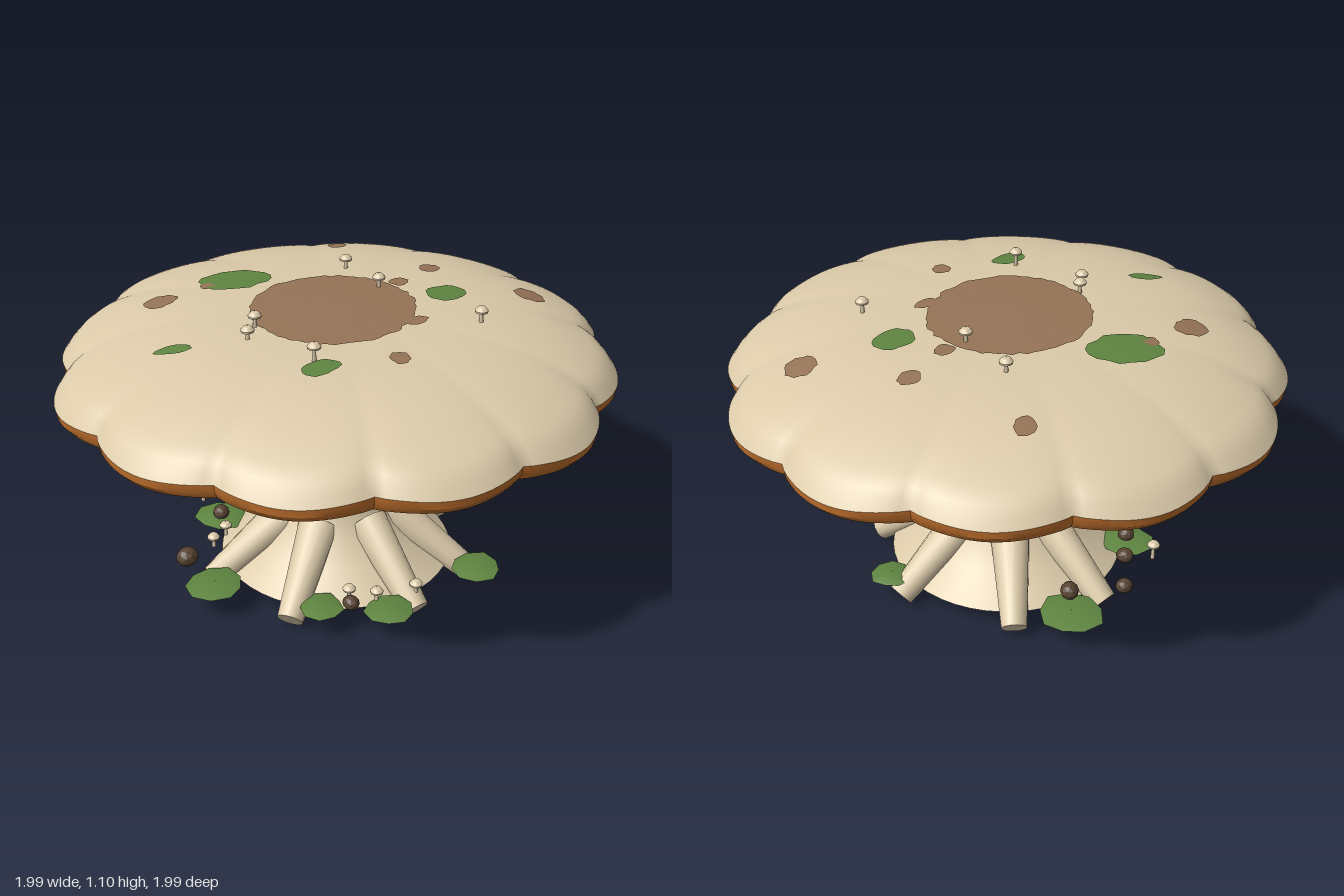
import * as THREE from 'three';
import { toCreasedNormals } from 'three/addons/utils/BufferGeometryUtils.js';

const material = (name, color) => Object.assign(new THREE.MeshStandardMaterial({ color }), { name });

// Small seeded random generator
function seeded(seed) {
  let s = seed * 7919 + 17;
  return () => (s = (s * 16807) % 2147483647) / 2147483647;
}

// Surface through closed rings; point(i, angle) gives [x, y, z]; angle 0 is +z
function loft(rings, sides, point, crease = 0.6) {
  const pos = [], index = [];
  for (let i = 0; i < rings; i++)
    for (let j = 0; j < sides; j++) pos.push(...point(i, (j / sides) * Math.PI * 2));
  for (let i = 0; i < rings - 1; i++)
    for (let j = 0; j < sides; j++) {
      const k = (j + 1) % sides;
      const a = i * sides + j, b = a + sides, c = (i + 1) * sides + k, d = i * sides + k;
      index.push(a, b, c, a, c, d);
    }
  const geo = new THREE.BufferGeometry();
  geo.setAttribute('position', new THREE.Float32BufferAttribute(pos, 3));
  geo.setIndex(index);
  return toCreasedNormals(geo, crease);
}

// Round part from [radius, y] pairs listed from the top outward and down
function turned(profile, sides, wave = () => 0) {
  return loft(profile.length, sides, (i, a) => {
    const [r, y] = profile[i];
    return [r * Math.sin(a), y + wave(i, a), r * Math.cos(a)];
  });
}

// Scalloped cap outline and gently domed top with a rounded shoulder
const lobe = (a) => Math.pow(Math.abs(Math.sin(6 * a)), 0.8);
const outline = (a) => 0.95 + 0.057 * lobe(a) + 0.01 * Math.cos(4 * a);
const capRadius = (t, a) => t * (1 + (outline(a) - 1) * t ** 3);
const capY = (t, a) => 1.04 - 0.16 * t ** 4 - 0.035 * Math.max(0, (t - 0.92) / 0.08) ** 2
  - 0.03 * (1 - lobe(a)) * t ** 3 * (1 - t);
const rimWave = (t, a) => (0.006 * Math.cos(12 * a) + 0.004 * Math.cos(5 * a + 1)) * t ** 6;

export function createModel() {
  const group = new THREE.Group();
  const cream = material('cream flesh', 0xdccbaa);
  cream.side = THREE.DoubleSide;
  const gill = material('orange gills', 0xc4722e);
  const brown = material('brown blotch', 0x967457);
  const moss = material('moss green', 0x5f8541);
  moss.side = THREE.DoubleSide;
  const stone = material('dark pebble', 0x564231);

  const add = (name, geo, mat, x = 0, y = 0, z = 0, parent = group) => {
    const mesh = new THREE.Mesh(geo, mat);
    mesh.name = name;
    mesh.position.set(x, y, z);
    parent.add(mesh);
    return mesh;
  };

  // Cap top
  const RINGS = 41;
  add('capTop', loft(RINGS, 192, (i, a) => {
    const t = Math.max(0.001, i / (RINGS - 1)), r = capRadius(t, a);
    return [r * Math.sin(a), capY(t, a) + rimWave(t, a), r * Math.cos(a)];
  }, 1), cream);

  // Cap rim and pleated gills
  const under = [[1, 0.845], [0.995, 0.815], [0.975, 0.79], [0.95, 0.79], [0.8, 0.81], [0.6, 0.84], [0.4, 0.87], [0.24, 0.895], [0.05, 0.9]];
  add('gills', loft(under.length, 192, (i, a) => {
    const [t, y] = under[i], r = capRadius(t, a);
    const pleat = i > 3 ? 0.008 * Math.sin(18 * a) + 0.005 * Math.sin(31 * a) : 0;
    return [r * Math.sin(a), y + pleat * Math.min(1, t * 2) + rimWave(t, a), r * Math.cos(a)];
  }, 0.5), gill);

  // Hollow stem with a collar at the top and a wide foot
  add('stem', turned([[0.265, 0.892], [0.228, 0.872], [0.22, 0.82], [0.21, 0.78], [0.19, 0.73], [0.177, 0.66], [0.177, 0.58], [0.182, 0.5],
    [0.192, 0.4], [0.21, 0.31], [0.25, 0.23], [0.32, 0.15], [0.44, 0.06]], 48), cream);

  // Skirt ring
  const skirtWave = (i, a) => (i === 1 || i === 2 ? 0.007 * Math.cos(7 * a) : 0);
  add('skirt', turned([[0.172, 0.7], [0.29, 0.635], [0.285, 0.612], [0.17, 0.628]], 40, skirtWave), cream);

  // Roots leaning out from the foot
  [-2, 37, 87, 141, 183, 258, 304].forEach((deg) => {
    const a = THREE.MathUtils.degToRad(deg);
    const at = (r, y) => new THREE.Vector3(r * Math.sin(a), y, r * Math.cos(a));
    const top = at(0.2, 0.255), tip = at(0.505, 0.04);
    const dir = top.clone().sub(tip);
    const geo = toCreasedNormals(new THREE.CylinderGeometry(0.075, 0.048, dir.length(), 12), 0.7);
    const mid = top.clone().add(tip).multiplyScalar(0.5);
    const root = add('root', geo, cream, mid.x, mid.y, mid.z);
    root.quaternion.setFromUnitVectors(new THREE.Vector3(0, 1, 0), dir.normalize());
  });

  // Ragged thin patches draped over the cap: x, z, half width, half depth, turn
  const patch = (name, mat, seed, [x, z, w, d, turn = 0]) => {
    const rand = seeded(seed), large = w > 0.2;
    const sides = large ? 72 : 18, rings = large ? 14 : 6, rough = large ? 0.05 : 0.18;
    const edge = Array.from({ length: sides }, () => 1 + (rand() - 0.5) * rough);
    add(name, loft(rings, sides, (i, a) => {
      const j = Math.round((a / (Math.PI * 2)) * sides) % sides;
      const s = Math.max(0.001, i / (rings - 1)) * (edge[j] + rough * 0.25 * Math.sin(3 * a + seed));
      const u = s * w * Math.sin(a), v = s * d * Math.cos(a);
      const px = x + u * Math.cos(turn) - v * Math.sin(turn);
      const pz = z + u * Math.sin(turn) + v * Math.cos(turn);
      return [px, capY(Math.hypot(px, pz), Math.atan2(px, pz)) + 0.006, pz];
    }), mat);
  };
  [[-0.01, -0.005, 0.297, 0.29], [-0.44, -0.47, 0.06, 0.055], [0.41, -0.54, 0.045, 0.038, -0.5], [0.515, -0.1, 0.045, 0.038, -0.4],
    [0.7, 0.25, 0.057, 0.06], [-0.065, 0.435, 0.034, 0.04, 0.6], [0.325, -0.05, 0.038, 0.034], [0.16, 0.25, 0.045, 0.03],
    [-0.245, -0.46, 0.026, 0.03]].forEach((p, i) => patch('brownPatch', brown, i + 3, p));
  [[-0.135, -0.44, 0.13, 0.095, 0.5], [0.4, 0.125, 0.075, 0.066], [-0.315, 0.335, 0.07, 0.046],
    [-0.61, -0.095, 0.065, 0.028, 0.6]].forEach((p, i) => patch('mossPatch', moss, i + 21, p));

  // Small mushrooms: x, base y, z, height
  const sprout = (x, y, z, h) => {
    const g = new THREE.Group();
    g.name = 'smallMushroom';
    g.position.set(x, y, z);
    group.add(g);
    add('smallStalk', new THREE.CylinderGeometry(0.006, 0.008, h, 8), cream, 0, h / 2, 0, g);
    add('smallCap', turned([[0.001, 0.02], [0.014, 0.016], [0.024, 0.004], [0.023, -0.003], [0.001, 0]], 14), cream, 0, h, 0, g);
  };
  [[0.26, -0.285, 0.04], [0.235, -0.055, 0.045], [-0.31, -0.05, 0.045], [-0.38, 0.01, 0.035], [-0.3, 0.28, 0.055],
    [0.35, 0.37, 0.045]].forEach(([x, z, h]) => sprout(x, capY(Math.hypot(x, z), Math.atan2(x, z)) - 0.005, z, h));
  [[-0.01, 0.49, 0.04], [-0.15, 0.44, 0.04], [-0.22, 0.37, 0.04], [-0.35, -0.24, 0.04], [-0.43, -0.2, 0.04],
    [-0.29, -0.5, 0.06]].forEach(([x, z, h]) => sprout(x, 0.1, z, h));

  // Moss pads around the foot: x, z, radius
  [[-0.56, 0.01, 0.105], [-0.33, 0.35, 0.08], [-0.15, 0.51, 0.088], [0.27, 0.5, 0.095], [0.5, 0.08, 0.075],
    [0.16, -0.52, 0.115], [-0.29, -0.36, 0.1]].forEach(([x, z, r], n) => {
    const rand = seeded(n + 40);
    const edge = Array.from({ length: 9 }, () => r * (0.9 + rand() * 0.2));
    add('mossPad', loft(4, 9, (i, a) => {
      const e = edge[Math.round((a / (Math.PI * 2)) * 9) % 9] * [0.01, 0.6, 1, 0.01][i];
      return [e * Math.sin(a), [0.014, 0.01, 0, -0.006][i], e * Math.cos(a)];
    }, 0.3), moss, x, 0.102, z);
  });

  // Pebbles: x, z, radius
  [[-0.57, -0.16, 0.044], [-0.3, -0.35, 0.035], [-0.2, -0.44, 0.034], [-0.07, -0.56, 0.033], [0.1, -0.45, 0.038],
    [-0.25, 0.42, 0.032]].forEach(([x, z, r], n) => {
    const pebble = add('pebble', toCreasedNormals(new THREE.IcosahedronGeometry(r, 1), 0.2), stone, x, 0.1 + r * 0.75, z);
    pebble.scale.set(1, 0.85, 0.9);
    pebble.rotation.y = n;
  });

  // Bracket fungi on the stem: angle, y, distance from the axis
  [[18, 0.53, 0.21], [-22, 0.41, 0.22], [178, 0.325, 0.225], [226, 0.345, 0.225]].forEach(([deg, y, r]) => {
    const a = THREE.MathUtils.degToRad(deg), x = r * Math.sin(a), z = r * Math.cos(a);
    add('bracketTop', turned([[0.001, 0.014], [0.03, 0.01], [0.054, 0]], 16), cream, x, y, z);
    add('bracketUnderside', turned([[0.054, 0], [0.035, -0.008], [0.001, -0.01]], 16), gill, x, y, z);
  });

  return group;
}
